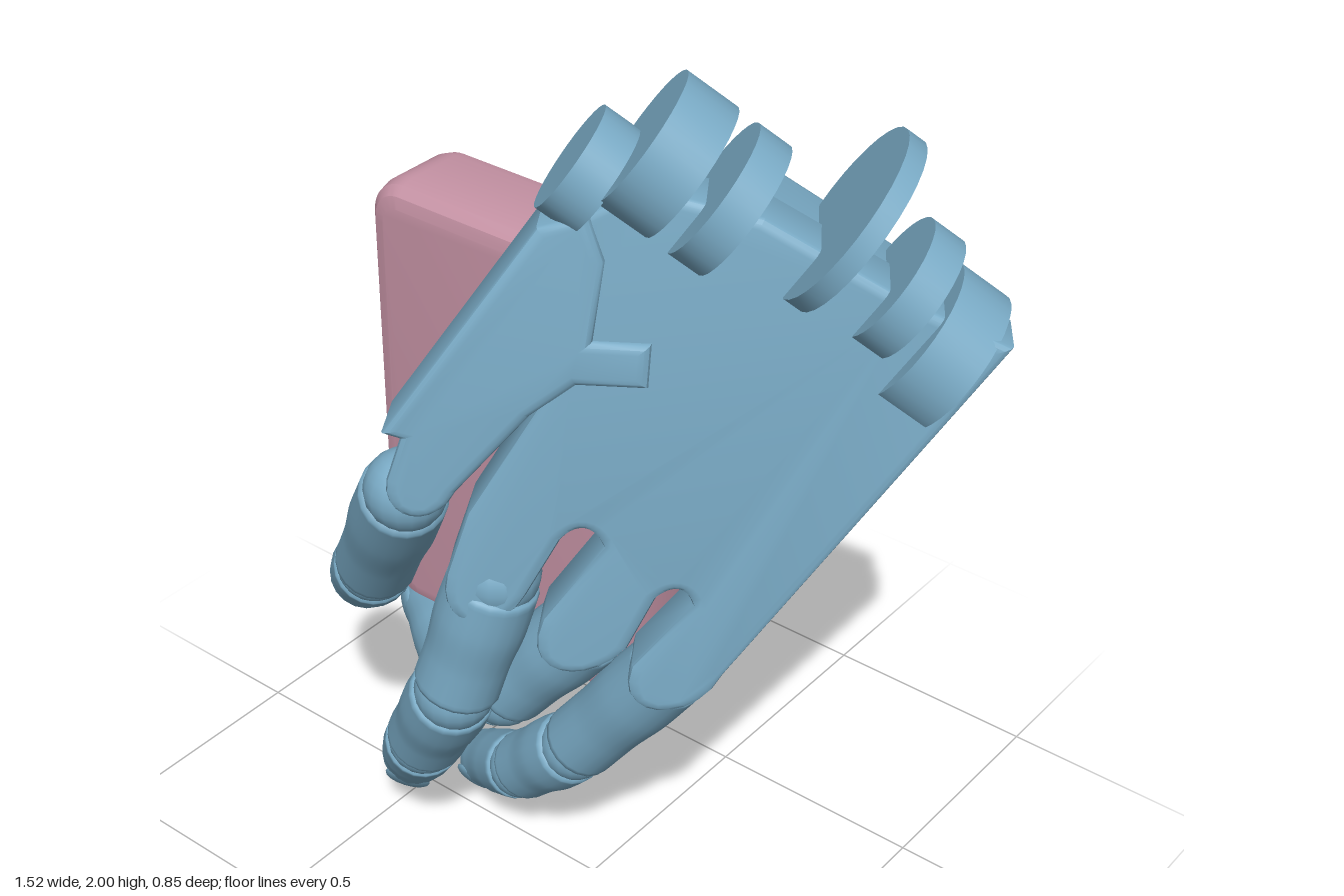
import * as THREE from 'three';
import { toCreasedNormals, mergeVertices } from 'three/addons/utils/BufferGeometryUtils.js';

const V = (a) => new THREE.Vector3(...a);
const blue = new THREE.MeshStandardMaterial({ color: 0x7aabc6 });
const pink = new THREE.MeshStandardMaterial({ color: 0xc693a5 });

// Frame of the back of the hand: N out of it, UP to the wrist, ACROSS to the little finger
const N = V([0.555, 0.083, 0.828]);
const UP = V([0.44, 0.816, -0.376]);
const ACROSS = V([0.707, -0.573, -0.416]);
const planeZ = (x, y) => 0.4 - 0.67 * x - 0.1 * y;

function add(group, name, geometry, material = blue) {
  const mesh = new THREE.Mesh(geometry, material);
  mesh.name = name;
  group.add(mesh);
  return mesh;
}

// Plate drawn in x, y, laid on the plane of the hand and given a varying thickness
function plate(shape, lift, thickness) {
  const b = 0.02;
  const geo = new THREE.ExtrudeGeometry(shape, {
    depth: 0.16, bevelEnabled: true, bevelSize: b, bevelOffset: -b, bevelThickness: b, bevelSegments: 3, curveSegments: 10,
  });
  const p = geo.attributes.position;
  for (let i = 0; i < p.count; i++) {
    const x = p.getX(i), y = p.getY(i);
    const e = lift + ((p.getZ(i) - 0.16 - b) / 0.2) * thickness(x, y);
    p.setXYZ(i, x + N.x * e, y + N.y * e, planeZ(x, y) + N.z * e);
  }
  return toCreasedNormals(geo, 0.6);
}

// Round limb along a path, radii spread evenly over its length, both ends domed
function limb(points, radii, capA, capB) {
  const curve = new THREE.CatmullRomCurve3(points.map(V));
  const seg = 36, sides = 20, len = curve.getLength();
  const geo = new THREE.TubeGeometry(curve, seg, 1, sides);
  const p = geo.attributes.position, v = new THREE.Vector3();
  const dome = (s, cap) => (s >= cap ? 1 : Math.sqrt(Math.max(0, 1 - (1 - s / cap) ** 2)));
  for (let i = 0; i <= seg; i++) {
    const t = i / seg, c = curve.getPointAt(t);
    const f = t * (radii.length - 1), k = Math.min(Math.floor(f), radii.length - 2);
    const w = f - k, sm = w * w * (3 - 2 * w);
    const r = (radii[k] + (radii[k + 1] - radii[k]) * sm) * dome(t * len, capA) * dome((1 - t) * len, capB);
    for (let j = 0; j <= sides; j++) {
      const n = i * (sides + 1) + j;
      v.fromBufferAttribute(p, n).sub(c).multiplyScalar(r).add(c);
      p.setXYZ(n, v.x, v.y, v.z);
    }
  }
  geo.deleteAttribute('uv');
  geo.deleteAttribute('normal');
  const merged = mergeVertices(geo);
  merged.computeVertexNormals();
  return merged;
}

// Shallow nail on the outer side of a fingertip
function nail(group, a, b, r, outward) {
  const dir = V(b).sub(V(a)).normalize();
  const out = outward.clone().addScaledVector(dir, -outward.dot(dir)).normalize();
  const mesh = add(group, 'nail', new THREE.SphereGeometry(1, 16, 10));
  mesh.quaternion.setFromRotationMatrix(new THREE.Matrix4().makeBasis(dir.clone().cross(out), dir, out));
  mesh.scale.set(r * 0.65, r * 0.85, r * 0.22);
  mesh.position.copy(V(b)).addScaledVector(dir, -r * 1.1).addScaledVector(out, r * 0.74);
}

// Finger of three phalanges with hinge balls between them
function finger(name, joints, r) {
  const group = new THREE.Group();
  group.name = name;
  const names = ['proximalPhalanx', 'middlePhalanx', 'fingertip'];
  for (let i = 0; i < 3; i++) {
    const a = V(joints[i]), s = r * (1 - 0.05 * i), last = i === 2;
    add(group, names[i], limb([joints[i], joints[i + 1]],
      last ? [s, s * 0.98, s * 0.9, s * 0.75] : [s, s * 1.03, s * 0.96, s * 0.97], 0.025, last ? 0.08 : 0.025));
    add(group, 'hinge', new THREE.SphereGeometry(s * 0.94, 18, 12)).position.copy(a);
  }
  nail(group, joints[2], joints[3], r * 0.85, N);
  return group;
}

export function createModel() {
  const model = new THREE.Group();
  model.name = 'handHoldingBox';
  const hand = new THREE.Group();
  hand.name = 'hand';
  model.add(hand);

  // Palm with rounded knuckles and slots between the fingers
  const palm = new THREE.Shape();
  palm.moveTo(0.08, 1.72);
  palm.lineTo(0.18, 1.8);
  palm.lineTo(0.37, 1.75);
  palm.lineTo(0.6, 1.6);
  palm.lineTo(0.76, 1.52);
  palm.lineTo(0.38, 0.78);
  palm.bezierCurveTo(0.34, 0.65, 0.2, 0.66, 0.23, 0.79);
  palm.lineTo(0.32, 0.94);
  palm.quadraticCurveTo(0.3, 1, 0.26, 0.95);
  palm.lineTo(0.22, 0.83);
  palm.bezierCurveTo(0.16, 0.73, 0.04, 0.75, 0.08, 0.89);
  palm.lineTo(0.17, 1.06);
  palm.quadraticCurveTo(0.14, 1.13, 0.1, 1.07);
  palm.lineTo(0.05, 0.94);
  palm.bezierCurveTo(0.01, 0.83, -0.1, 0.85, -0.08, 0.98);
  palm.lineTo(-0.05, 1.12);
  palm.lineTo(0.08, 1.42);
  add(hand, 'palm', plate(palm, 0, () => 0.14));

  // Thick cuff on the inner side of the wrist
  const cuff = new THREE.Shape();
  cuff.moveTo(0.14, 1.66);
  cuff.lineTo(0.2, 1.78);
  cuff.lineTo(0.37, 1.74);
  cuff.lineTo(0.6, 1.59);
  cuff.lineTo(0.75, 1.51);
  cuff.lineTo(0.7, 1.4);
  cuff.quadraticCurveTo(0.6, 1.35, 0.46, 1.31);
  cuff.quadraticCurveTo(0.32, 1.3, 0.18, 1.5);
  add(hand, 'wristCuff', plate(cuff, -0.01, (x) => 0.31 - 0.19 * (x - 0.3)));

  // Separate plate carrying the index finger
  const side = new THREE.Shape();
  side.moveTo(0.035, 1.72);
  side.lineTo(0.11, 1.75);
  side.lineTo(0.14, 1.66);
  side.lineTo(0.13, 1.5);
  side.lineTo(0.22, 1.5);
  side.lineTo(0.22, 1.41);
  side.lineTo(0.11, 1.41);
  side.lineTo(0.04, 1.34);
  side.lineTo(-0.07, 1.17);
  side.bezierCurveTo(-0.1, 1.08, -0.19, 1.1, -0.18, 1.19);
  side.lineTo(-0.16, 1.28);
  side.lineTo(-0.19, 1.29);
  add(hand, 'indexPlate', plate(side, 0.015, () => 0.155));

  // Wrist hinge lugs: place along the hinge, rise, depth, radius, width
  const hub = V([0.17, 1.86, 0.05]);
  const turn = new THREE.Quaternion().setFromRotationMatrix(new THREE.Matrix4().makeBasis(N, ACROSS, UP));
  const lugs = [
    [-0.06, -0.11, -0.02, 0.11, 0.08], [0.03, 0.005, 0, 0.14, 0.11], [0.17, 0, -0.01, 0.14, 0.07],
    [0.37, 0.1, -0.02, 0.185, 0.04], [0.53, 0.05, -0.03, 0.13, 0.07], [0.66, -0.02, -0.07, 0.15, 0.11],
  ];
  for (const [s, rise, depth, r, w] of lugs) {
    const lug = new THREE.CylinderGeometry(r, r, w, 32);
    const mesh = add(hand, 'wristLug', toCreasedNormals(lug, 0.6));
    mesh.quaternion.copy(turn);
    mesh.position.copy(hub).addScaledVector(ACROSS, s).addScaledVector(UP, rise).addScaledVector(N, depth);
  }

  // Fingers, listed by joints from knuckle to tip
  hand.add(finger('indexFinger', [[-0.2, 1.12, 0.33], [-0.44, 0.75, 0.19], [-0.59, 0.59, 0.07], [-0.75, 0.43, -0.08]], 0.09));
  hand.add(finger('middleFinger', [[-0.05, 0.94, 0.24], [-0.14, 0.62, 0.28], [-0.3, 0.36, 0.21], [-0.49, 0.1, 0.06]], 0.095));
  hand.add(finger('ringFinger', [[0.1, 0.82, 0.13], [-0.11, 0.56, 0.16], [-0.36, 0.42, 0.03], [-0.66, 0.38, -0.19]], 0.088));
  hand.add(finger('littleFinger', [[0.25, 0.74, 0.05], [0.0, 0.4, 0.06], [-0.19, 0.21, 0.02], [-0.44, 0.02, -0.11]], 0.085));

  // Thumb with its muscle pad at the base
  const thumb = new THREE.Group();
  thumb.name = 'thumb';
  hand.add(thumb);
  add(thumb, 'thumbPad', limb([[0.2, 1.6, -0.02], [0.26, 1.44, -0.1], [0.4, 1.3, -0.22]], [0.1, 0.14, 0.13], 0.1, 0.1));
  add(thumb, 'thumbBody', limb([[0.48, 1.31, -0.26], [0.29, 1.21, -0.28], [0.05, 1.06, -0.32], [-0.21, 0.93, -0.31]],
    [0.115, 0.115, 0.095, 0.082, 0.095, 0.088], 0.09, 0.03));
  const tip = [[-0.17, 0.95, -0.31], [-0.47, 0.84, -0.27]];
  add(thumb, 'thumbTip', limb(tip, [0.08, 0.084, 0.08, 0.062], 0.03, 0.09));
  nail(thumb, tip[0], tip[1], 0.075, V([0, 0, -1]));

  // Held box with rounded corners
  const w = 0.335, h = 0.515, c = 0.09;
  const face = new THREE.Shape();
  face.absarc(w - c, h - c, c, 0, Math.PI / 2);
  face.absarc(c - w, h - c, c, Math.PI / 2, Math.PI);
  face.absarc(c - w, c - h, c, Math.PI, Math.PI * 1.5);
  face.absarc(w - c, c - h, c, Math.PI * 1.5, Math.PI * 2);
  const box = new THREE.ExtrudeGeometry(face, {
    depth: 0.13, bevelEnabled: true, bevelSize: 0.05, bevelOffset: -0.05, bevelThickness: 0.05, bevelSegments: 3, curveSegments: 6,
  });
  add(model, 'heldBox', toCreasedNormals(box, 0.5), pink).position.set(-0.235, 1.045, -0.15);

  return model;
}
